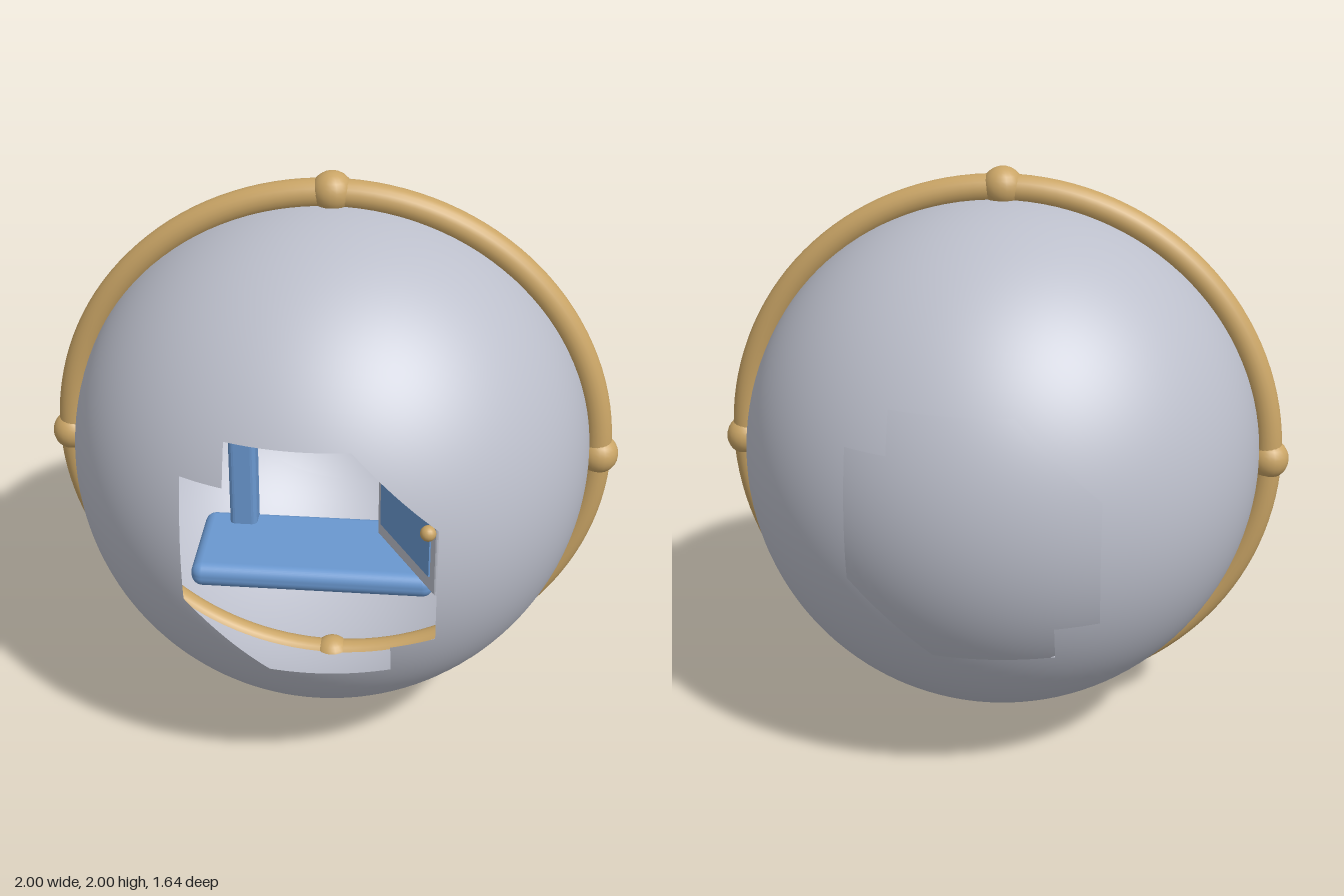
import * as THREE from 'three';
import { RoundedBoxGeometry } from 'three/addons/geometries/RoundedBoxGeometry.js';

const R = 0.897; // shell radius
const CY = 1;    // shell centre height

const mat = (name, color, side = THREE.FrontSide) => {
  const m = new THREE.MeshStandardMaterial({ color, side });
  m.name = name;
  return m;
};

// Notched opening, point-symmetric about the shell axis
const half = [[0.4, -0.28], [0.4, 0.15], [0.13, 0.41], [-0.26, 0.41], [-0.26, 0.28]];
const outline = [...half, ...half.map(([x, y]) => [-x, -y])];

// Distance from the axis to the opening's edge at angle a
function edgeRadius(a) {
  const dx = Math.cos(a), dy = Math.sin(a);
  let best = 0;
  outline.forEach(([x1, y1], i) => {
    const [x2, y2] = outline[(i + 1) % outline.length];
    const ex = x2 - x1, ey = y2 - y1;
    const den = dx * ey - dy * ex;
    if (Math.abs(den) < 1e-9) return;
    const t = (x1 * ey - y1 * ex) / den;
    const s = (x1 * dy - y1 * dx) / den;
    if (t > 0 && s > -1e-6 && s < 1 + 1e-6) best = Math.max(best, t);
  });
  return best;
}

// Sphere skin running from the front opening to the same opening at the back
function shellGeometry() {
  const angles = [];
  for (let i = 0; i < 120; i++) angles.push((i / 120) * Math.PI * 2);
  outline.forEach(([x, y]) => {
    for (const s of [1, -1]) angles.push((Math.atan2(s * y, x) + Math.PI * 2) % (Math.PI * 2));
  });
  angles.sort((a, b) => a - b);
  const rows = 48, pos = [], nor = [], idx = [], n = angles.length;
  for (const a of angles) {
    const t0 = Math.asin(edgeRadius(a) / R);
    const t1 = Math.PI - Math.asin(edgeRadius(Math.PI - a) / R);
    for (let j = 0; j <= rows; j++) {
      const t = t0 + (t1 - t0) * j / rows;
      const v = [Math.sin(t) * Math.cos(a), Math.sin(t) * Math.sin(a), Math.cos(t)];
      nor.push(...v);
      pos.push(...v.map(c => c * R));
    }
  }
  for (let i = 0; i < n; i++) {
    for (let j = 0; j < rows; j++) {
      const a = i * (rows + 1) + j, b = ((i + 1) % n) * (rows + 1) + j;
      idx.push(a, a + 1, b, b, a + 1, b + 1);
    }
  }
  const g = new THREE.BufferGeometry();
  g.setAttribute('position', new THREE.Float32BufferAttribute(pos, 3));
  g.setAttribute('normal', new THREE.Float32BufferAttribute(nor, 3));
  g.setIndex(idx);
  return g;
}

// Round-topped door outline
function archShape(cx, r, bottom, spring) {
  const s = new THREE.Shape();
  s.moveTo(cx - r, bottom);
  s.lineTo(cx + r, bottom);
  s.lineTo(cx + r, spring);
  s.absarc(cx, spring, r, 0, Math.PI, false);
  s.closePath();
  return s;
}

export function createModel() {
  const model = new THREE.Group();
  const grey = mat('shellGrey', 0xbcbfcb, THREE.DoubleSide);
  const gold = mat('brass', 0xcaa566);
  const blue = mat('blue', 0x6a98d0);
  const add = (name, geo, m, x = 0, y = 0, z = 0, parent = model) => {
    const mesh = new THREE.Mesh(geo, m);
    mesh.name = name;
    mesh.position.set(x, y, z);
    parent.add(mesh);
    return mesh;
  };

  // Globe with its recessed back panel
  add('shell', shellGeometry(), grey, 0, CY, 0);
  const cap = new THREE.SphereGeometry(0.83, 64, 16, 0, Math.PI * 2, 0, 0.7);
  cap.rotateX(-Math.PI / 2);
  add('backPanel', cap, grey, 0, CY, 0);

  // Outer ring with four joints
  add('ring', new THREE.TorusGeometry(0.925, 0.05, 20, 128), gold, 0, CY, 0);
  for (let i = 0; i < 4; i++) {
    const a = i * Math.PI / 2;
    add('ringJoint', new THREE.SphereGeometry(0.07, 20, 14), gold,
      0.93 * Math.cos(a), CY + 0.93 * Math.sin(a), 0);
  }

  // Doorstep and arched frame
  add('doorstep', new RoundedBoxGeometry(0.86, 0.09, 0.4, 4, 0.04), blue, -0.05, 0.575, 0.08);
  const frame = new THREE.Shape();
  frame.moveTo(-0.31, 0.6);
  frame.lineTo(-0.25, 0.6);
  frame.lineTo(-0.25, 1.13);
  frame.absarc(0, 1.13, 0.25, Math.PI, 0, true);
  frame.lineTo(0.25, 0.6);
  frame.lineTo(0.31, 0.6);
  frame.lineTo(0.31, 1.13);
  frame.absarc(0, 1.13, 0.31, 0, Math.PI, false);
  frame.closePath();
  add('doorFrame', new THREE.ExtrudeGeometry(frame, {
    depth: 0.06, bevelThickness: 0.02, bevelSize: 0.02, bevelSegments: 4, curveSegments: 32,
  }), blue, -0.05, 0, -0.1);

  // Door swung open on the frame's left jamb
  const door = new THREE.Group();
  door.name = 'door';
  door.position.set(0.2, 0, -0.01);
  door.rotation.y = -Math.PI / 3;
  model.add(door);
  add('doorLeaf', new THREE.ExtrudeGeometry(archShape(0.22, 0.21, 0.64, 1.12), {
    depth: 0.02, bevelThickness: 0.01, bevelSize: 0.01, bevelSegments: 3, curveSegments: 24,
  }), grey, 0, 0, 0.01, door);
  const panel = new THREE.ExtrudeGeometry(archShape(0.22, 0.185, 0.69, 1.12), {
    depth: 0.008, bevelEnabled: false, curveSegments: 24,
  });
  for (const z of [0.038, -0.006]) add('doorPanel', panel, blue, 0, 0, z, door);
  for (const z of [0.06, -0.02]) {
    add('doorKnob', new THREE.SphereGeometry(0.028, 16, 12), gold, 0.42, 0.88, z, door);
  }
  return model;
}
